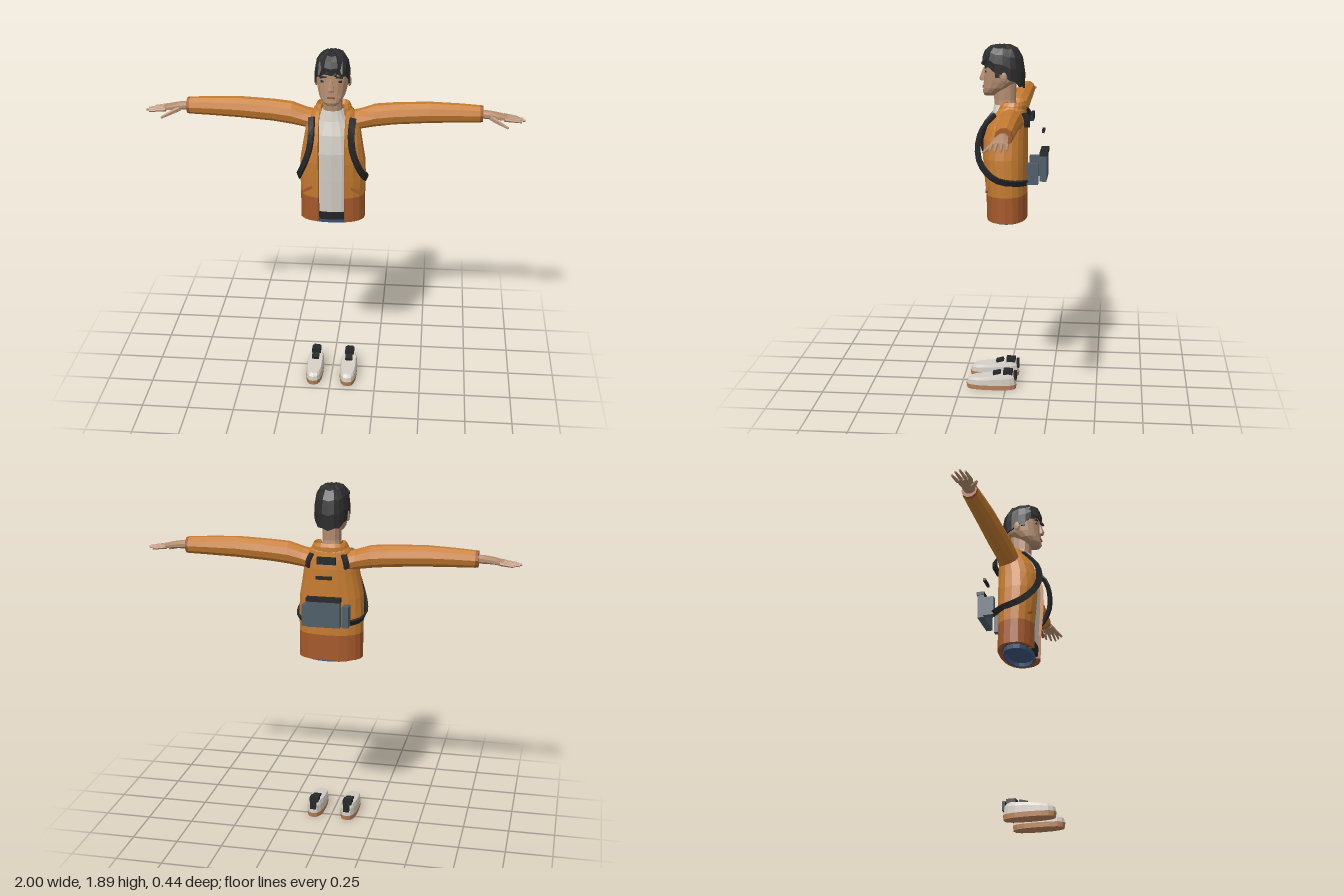
import * as THREE from 'three';

const V = (x, y, z) => new THREE.Vector3(x, y, z);
const paint = (name, color, double) => {
  const m = new THREE.MeshStandardMaterial({ color });
  m.name = name;
  if (double) m.side = THREE.DoubleSide;
  return m;
};

// Faceted copy of a geometry, optionally mirrored across x = 0
function faceted(geo, mirror = false) {
  const g = geo.index ? geo.toNonIndexed() : geo.clone();
  if (mirror) {
    g.scale(-1, 1, 1);
    const p = g.attributes.position, a = V(), b = V();
    for (let i = 0; i < p.count; i += 3) {
      a.fromBufferAttribute(p, i + 1);
      b.fromBufferAttribute(p, i + 2);
      p.setXYZ(i + 1, b.x, b.y, b.z);
      p.setXYZ(i + 2, a.x, a.y, a.z);
    }
  }
  g.computeVertexNormals();
  return g;
}

// Skin over a list of cross-sections, wound so that it faces outward
function loft(rings, { closed = true, start = true, end = true } = {}) {
  const tris = [], n = rings[0].length;
  for (let r = 0; r + 1 < rings.length; r++) {
    for (let i = 0; i < (closed ? n : n - 1); i++) {
      const j = (i + 1) % n, A = rings[r], B = rings[r + 1];
      tris.push([A[i], A[j], B[j]], [A[i], B[j], B[i]]);
    }
  }
  const cap = (ring, flip) => {
    const c = ring.reduce((s, p) => s.add(p), V(0, 0, 0)).divideScalar(n);
    for (let i = 0; i < n; i++) {
      const j = (i + 1) % n;
      tris.push(flip ? [c, ring[j], ring[i]] : [c, ring[i], ring[j]]);
    }
  };
  if (closed && start) cap(rings[0], true);
  if (closed && end) cap(rings[rings.length - 1], false);
  const mid = rings.flat().reduce((s, p) => s.add(p), V(0, 0, 0)).divideScalar(n * rings.length);
  const rel = p => p.clone().sub(mid);
  const volume = tris.reduce((s, [a, b, c]) => s + rel(a).dot(rel(b).cross(rel(c))), 0);
  const pts = tris.flatMap(([a, b, c]) => (volume < 0 ? [a, c, b] : [a, b, c]));
  return new THREE.BufferGeometry().setFromPoints(pts);
}

const pw = (v, e) => Math.sign(v) * Math.abs(v) ** e;

// Level cross-section: height, half width, front z, back z
function level([y, rx, zf, zb], n = 16, e = 0.85) {
  return Array.from({ length: n }, (_, i) => {
    const t = (i / n) * Math.PI * 2;
    return V(rx * pw(Math.sin(t), e), y, (zf + zb) / 2 + (zf - zb) / 2 * pw(Math.cos(t), e));
  });
}

// Level cross-section open at the front, with lips folded inward
function openLevel([y, rx, zf, zb, gap = 0.07], n = 18, e = 0.85) {
  const a = Math.asin(Math.min(1, gap / rx) ** (1 / e)), pts = [];
  for (let i = 0; i <= n; i++) {
    const t = a + (i / n) * (Math.PI * 2 - 2 * a);
    pts.push(V(rx * pw(Math.sin(t), e), y, (zf + zb) / 2 + (zf - zb) / 2 * pw(Math.cos(t), e)));
  }
  const lip = p => V(p.x * 0.93, p.y, p.z - 0.025);
  return [lip(pts[0]), ...pts, lip(pts[n])];
}

// Upright cross-section along an arm: x, centre y, centre z, radii
const armRing = ([x, y, z, ry, rz], n = 10) => Array.from({ length: n }, (_, i) => {
  const t = ((i + 0.5) / n) * Math.PI * 2;
  return V(x, y + ry * Math.cos(t), z + rz * Math.sin(t));
});

// Flat band along a path, facing away from the chest centre
function band(points, width, thick, steps = 14) {
  const curve = new THREE.CatmullRomCurve3(points);
  return loft(Array.from({ length: steps + 1 }, (_, i) => {
    const p = curve.getPoint(i / steps), t = curve.getTangent(i / steps);
    const out = p.clone().sub(V(0, 1.27, 0)).normalize();
    const side = t.clone().cross(out).normalize();
    out.crossVectors(side, t).normalize();
    return [[-1, -1], [1, -1], [1, 1], [-1, 1]].map(([u, v]) =>
      p.clone().addScaledVector(side, u * width / 2).addScaledVector(out, v * thick / 2));
  }));
}

// Tapered rod between two points
const rod = (a, b, ra, rb) => {
  const d = b.clone().sub(a), g = new THREE.CylinderGeometry(rb, ra, d.length(), 6);
  g.applyQuaternion(new THREE.Quaternion().setFromUnitVectors(V(0, 1, 0), d.normalize()));
  return g.translate((a.x + b.x) / 2, (a.y + b.y) / 2, (a.z + b.z) / 2);
};
const box = (w, h, d, x, y, z, tilt = 0) => new THREE.BoxGeometry(w, h, d).rotateZ(tilt).translate(x, y, z);

export function createModel() {
  const model = new THREE.Group();
  const orange = paint('jacket orange', 0xc67c30, true), rust = paint('hem rust', 0xa4592a, true);
  const white = paint('shirt off-white', 0xd2cdc4), skin = paint('skin', 0xb48d70);
  const lip = paint('lip brown', 0x8a5a48), hair = paint('hair charcoal', 0x2c2b2b, true);
  const black = paint('strap black', 0x252628), slate = paint('pack slate', 0x4f5d69);
  const denim = paint('denim blue', 0x3d567c), tan = paint('sole tan', 0xb98359);

  const add = (name, geo, mat, mirror) => {
    const m = new THREE.Mesh(faceted(geo, mirror), mat);
    m.name = name;
    model.add(m);
  };
  const pair = (name, geo, mat) => {
    add(name + 'Left', geo, mat);
    add(name + 'Right', geo, mat, true);
  };

  // Jacket, hem and collar
  add('jacket', loft([
    [1.1, 0.173, 0.112, -0.108], [1.2, 0.176, 0.122, -0.11], [1.3, 0.172, 0.13, -0.11],
    [1.4, 0.155, 0.128, -0.11], [1.46, 0.145, 0.11, -0.11], [1.51, 0.132, 0.085, -0.106],
    [1.55, 0.112, 0.055, -0.1], [1.575, 0.09, 0.03, -0.085]
  ].map(r => openLevel(r)), { closed: false }), orange);
  add('jacketHem', loft([[0.968, 0.14, 0.085, -0.085], [0.96, 0.174, 0.108, -0.108], [1.1, 0.173, 0.112, -0.108]]
    .map(r => openLevel(r)), { closed: false }), rust);
  add('collar', loft([[1.53, 0.105, 0.06, -0.1, 0.06], [1.575, 0.094, 0.045, -0.1, 0.06],
    [1.593, 0.085, 0.03, -0.092, 0.06], [1.565, 0.075, 0.02, -0.075, 0.05]]
    .map(r => openLevel(r, 14)), { closed: false }), orange);
  pair('pocket', box(0.065, 0.013, 0.012, 0.128, 1.145, 0.096, -0.5).rotateY(0), rust);

  // Shirt, belt and waist of the trousers
  add('shirt', loft([[1.0, 0.12, 0.095, -0.08], [1.2, 0.125, 0.108, -0.08], [1.35, 0.125, 0.115, -0.08],
    [1.45, 0.11, 0.102, -0.08], [1.52, 0.085, 0.08, -0.07], [1.575, 0.056, 0.07, -0.055]]
    .map(r => level(r))), white);
  add('belt', loft([[0.97, 0.135, 0.094, -0.085], [1.015, 0.135, 0.1, -0.085]].map(r => level(r))), black);
  add('trouserWaist', loft([[0.99, 0.132, 0.085, -0.082], [0.945, 0.128, 0.078, -0.08],
    [0.945, 0.118, 0.068, -0.07], [0.965, 0.115, 0.066, -0.068]].map(r => level(r))), denim);

  // Sleeves and cuffs
  pair('sleeve', loft([
    [0.09, 1.49, -0.03, 0.058, 0.065], [0.14, 1.505, -0.03, 0.053, 0.06], [0.22, 1.525, -0.036, 0.06, 0.06],
    [0.32, 1.535, -0.042, 0.058, 0.059], [0.5, 1.545, -0.046, 0.056, 0.055],
    [0.66, 1.545, -0.05, 0.05, 0.049], [0.765, 1.543, -0.052, 0.045, 0.044]
  ].map(r => armRing(r))), orange);
  pair('cuff', loft([[0.765, 1.543, -0.052, 0.045, 0.044], [0.78, 1.543, -0.052, 0.043, 0.042]]
    .map(r => armRing(r))), rust);

  // Hands
  pair('palm', loft([[0.76, 1.543, -0.05, 0.023, 0.028], [0.82, 1.541, -0.046, 0.021, 0.033],
    [0.87, 1.535, -0.043, 0.017, 0.041], [0.905, 1.53, -0.043, 0.011, 0.042]]
    .map(r => armRing(r, 8))), skin);
  [[-0.078, 0.965], [-0.054, 0.99], [-0.03, 1.0], [-0.008, 0.98]].forEach(([z, tip], i) =>
    pair('finger' + (i + 1), rod(V(0.89, 1.53, z), V(tip, 1.519, z * 1.08), 0.011, 0.006), skin));
  pair('thumb', rod(V(0.82, 1.533, -0.022), V(0.91, 1.497, 0.029), 0.015, 0.007), skin);

  // Neck and head
  add('neck', loft([[1.54, 0.056, 0.065, -0.055], [1.6, 0.05, 0.07, -0.045], [1.7, 0.052, 0.08, -0.05]]
    .map(r => level(r, 12))), skin);
  add('head', loft([[1.622, 0.028, 0.122, 0.06], [1.64, 0.05, 0.13, 0.03], [1.665, 0.067, 0.127, -0.01],
    [1.7, 0.077, 0.125, -0.06], [1.75, 0.084, 0.122, -0.08], [1.8, 0.085, 0.12, -0.085],
    [1.85, 0.065, 0.09, -0.06]].map(r => level(r, 16))), skin);
  add('nose', loft([[1.7, 0.017, 0.145, 0.11], [1.712, 0.016, 0.148, 0.11], [1.765, 0.008, 0.128, 0.11]]
    .map(r => level(r, 6, 1))), skin);
  add('mouth', box(0.04, 0.009, 0.008, 0, 1.668, 0.126), lip);
  pair('eye', box(0.024, 0.009, 0.008, 0.035, 1.751, 0.113).rotateY(0.06), hair);
  pair('brow', box(0.036, 0.009, 0.012, 0.035, 1.774, 0.113, -0.1).rotateY(0.06), hair);
  pair('ear', new THREE.SphereGeometry(1, 8, 6).scale(0.01, 0.03, 0.018).translate(0.086, 1.725, 0.01), skin);

  // Hair cap, high over the forehead and low at the nape
  const hairRing = (h, s) => level([0, 0.091 * s, 0.02 + 0.112 * s, 0.02 - 0.115 * s], 20).map((p, i) => {
    const back = (1 - Math.cos((i / 20) * Math.PI * 2)) / 2;
    const low = back < 0.3 ? 1.79 - back * 0.1 : 1.76 - (back - 0.3) * 0.135;
    const jag = i % 2 ? 0.006 : -0.004;
    p.y = THREE.MathUtils.lerp(low, 1.888, h) + jag * (1 - h * 0.5);
    return p;
  });
  add('hair', loft([[0, 0.9], [0, 0.98], [0.35, 1], [0.68, 0.9], [0.9, 0.66], [0.99, 0.34]]
    .map(([h, s]) => hairRing(h, s)), { start: false }), hair);
  pair('sideburn', box(0.008, 0.06, 0.024, 0.086, 1.755, 0.045), hair);
  [-0.055, -0.02, 0.02, 0.05].forEach((x, i) =>
    add('fringe' + (i + 1), rod(V(x, 1.835, 0.085), V(x * 1.15, 1.785 + (i % 2) * 0.008, 0.13), 0.026, 0.006), hair));

  // Harness straps
  pair('strap', band([V(0.108, 1.535, 0.055), V(0.104, 1.46, 0.122), V(0.113, 1.385, 0.145), V(0.142, 1.3, 0.138),
    V(0.168, 1.235, 0.095), V(0.18, 1.195, 0.035), V(0.165, 1.178, -0.05), V(0.115, 1.175, -0.115)], 0.034, 0.012), black);
  pair('backStrap', band([V(0.085, 1.54, -0.095), V(0.1, 1.505, -0.112), V(0.105, 1.47, -0.112)], 0.03, 0.012, 4), black);
  add('upperBackBar', box(0.1, 0.038, 0.016, 0, 1.513, -0.135), black);
  add('lowerBackBar', box(0.085, 0.016, 0.014, 0, 1.436, -0.193), black);

  // Pack with flap and side pouches
  add('pack', box(0.176, 0.145, 0.036, 0, 1.248, -0.197), slate);
  add('packFlap', box(0.182, 0.02, 0.042, 0, 1.323, -0.199), black);
  pair('sidePouch', box(0.034, 0.112, 0.06, 0.108, 1.222, -0.143), slate);

  // Shoes: each outline is pulled in towards a sloping top
  const shoeRing = (s, h) => level([0, 0.048 * s, 0.08 + 0.14 * s, 0.08 - 0.14 * s], 16, 0.75).map(p => {
    const top = 0.092 - (p.z + 0.06) * 0.11;
    return V(p.x + 0.095, h <= 0.03 ? h : THREE.MathUtils.lerp(0.026, top, h), p.z);
  });
  pair('sole', loft([shoeRing(0.97, 0), shoeRing(1, 0.026)]), tan);
  pair('shoe', loft([shoeRing(0.98, 0.026), shoeRing(0.95, 0.65), shoeRing(0.83, 1)]), white);
  pair('shoeTongue', box(0.04, 0.014, 0.042, 0.095, 0, 0).rotateX(0.25).translate(0, 0.09, 0.05), black);
  pair('shoeOpening', box(0.05, 0.024, 0.05, 0.095, 0.096, -0.012), black);
  pair('heelTab', box(0.034, 0.05, 0.016, 0.095, 0.075, -0.052), black);

  return model;
}
